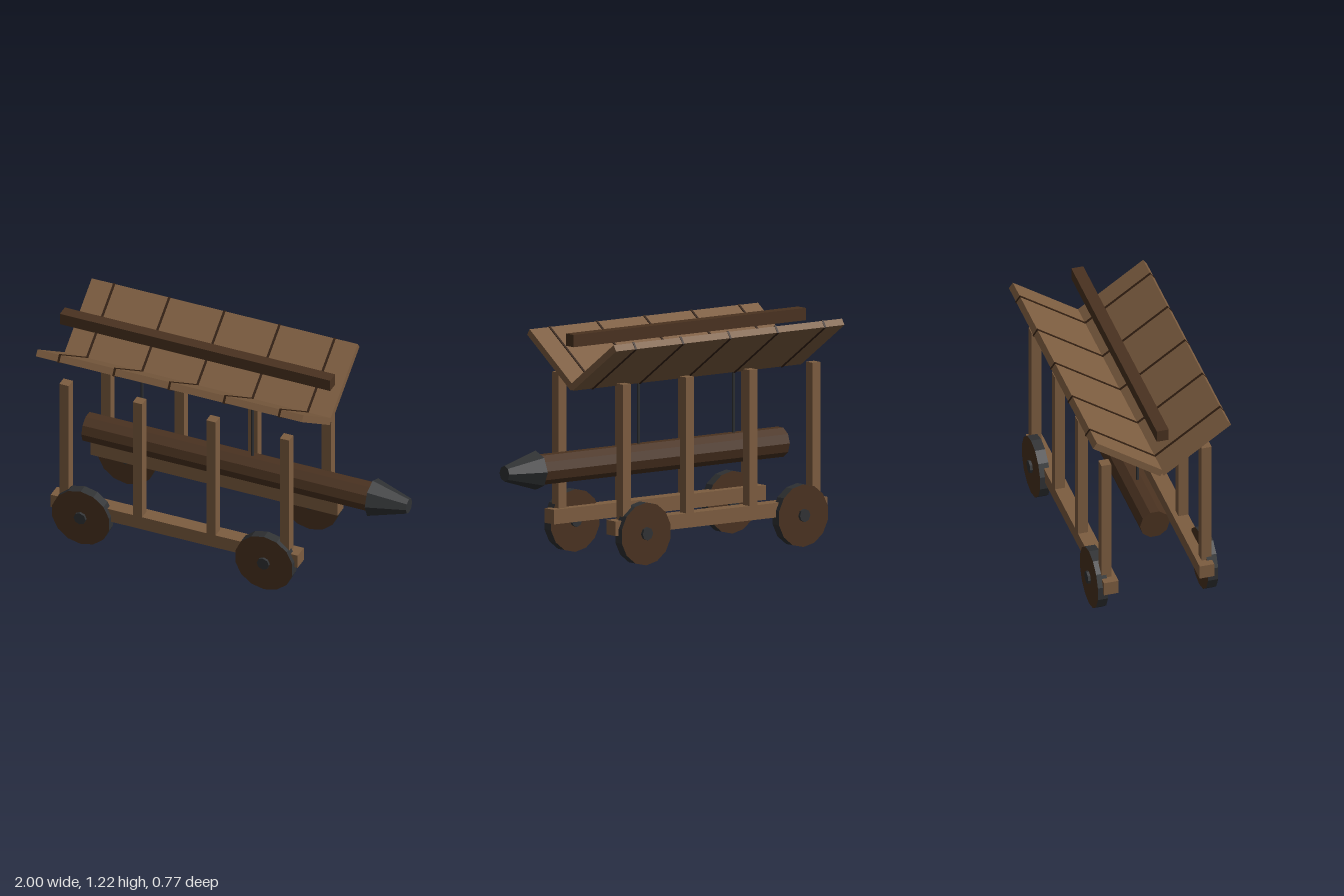
import * as THREE from 'three';

const mat = (name, color) => {
  const m = new THREE.MeshStandardMaterial({ color, flatShading: true });
  m.name = name;
  return m;
};

export function createModel() {
  const wood = mat('wood', 0x7d5d40);
  const darkWood = mat('darkWood', 0x4a3220);
  const batten = mat('battenWood', 0x332012);
  const iron = mat('iron', 0x303234);

  const model = new THREE.Group();
  model.name = 'batteringRam';

  const add = (parent, name, geometry, material, x, y, z) => {
    const mesh = new THREE.Mesh(geometry, material);
    mesh.name = name;
    mesh.position.set(x, y, z);
    parent.add(mesh);
    return mesh;
  };
  const box = (w, h, d) => new THREE.BoxGeometry(w, h, d);

  // Shared wheel shapes, axis along z
  const wheelGeo = new THREE.CylinderGeometry(0.168, 0.168, 0.056, 14).rotateX(Math.PI / 2);
  const hubGeo = new THREE.CylinderGeometry(0.035, 0.035, 0.086, 8).rotateX(Math.PI / 2);

  // Frame sides, wheels and roof slopes, mirrored front to back
  const slope = Math.atan2(0.254, 0.371);
  for (const s of [1, -1]) {
    const side = new THREE.Group();
    side.name = s > 0 ? 'frontFrame' : 'backFrame';
    model.add(side);
    add(side, 'baseBeam', box(1.425, 0.078, 0.081), wood, -0.222, 0.209, s * 0.2645);
    for (let i = 0; i < 4; i++) {
      add(side, 'post', box(0.054, 0.765, 0.055), wood, -0.858 + i * 0.424, 0.5925, s * 0.2775);
    }
    for (const x of [-0.75, 0.307]) {
      // Iron tyre with wooden faces
      add(side, 'wheel', wheelGeo, [iron, darkWood, darkWood], x, 0.168, s * 0.3045);
      add(side, 'hub', hubGeo, iron, x, 0.17, s * 0.304);
    }

    const roof = new THREE.Group();
    roof.name = s > 0 ? 'frontRoof' : 'backRoof';
    roof.position.set(0, 1.061, s * 0.1855);
    roof.rotation.x = -s * slope;
    model.add(roof);
    add(roof, 'roofPanel', box(1.535, 0.038, 0.45), wood, -0.2195, 0, 0);
    for (let i = 0; i < 5; i++) {
      add(roof, 'roofBatten', box(0.012, 0.046, 0.454), batten, -0.857 + i * 0.318, 0, 0);
    }
  }

  // Beam above the roof valley
  add(model, 'topBeam', box(1.56, 0.066, 0.066), darkWood, -0.22, 1.188, 0);

  // Hanging ram with iron head
  const ram = new THREE.Group();
  ram.name = 'ram';
  ram.position.y = 0.515;
  model.add(ram);
  const logGeo = new THREE.CylinderGeometry(0.082, 0.082, 1.65, 10).rotateZ(-Math.PI / 2);
  add(ram, 'log', logGeo, darkWood, -0.03, 0, 0);
  const headGeo = new THREE.CylinderGeometry(0.042, 0.105, 0.21, 8).rotateZ(-Math.PI / 2);
  add(ram, 'ramHead', headGeo, iron, 0.895, 0, 0);
  for (const x of [-0.54, 0.097]) {
    add(ram, 'chain', new THREE.CylinderGeometry(0.008, 0.008, 0.36, 6), iron, x, 0.24, 0);
  }

  return model;
}
